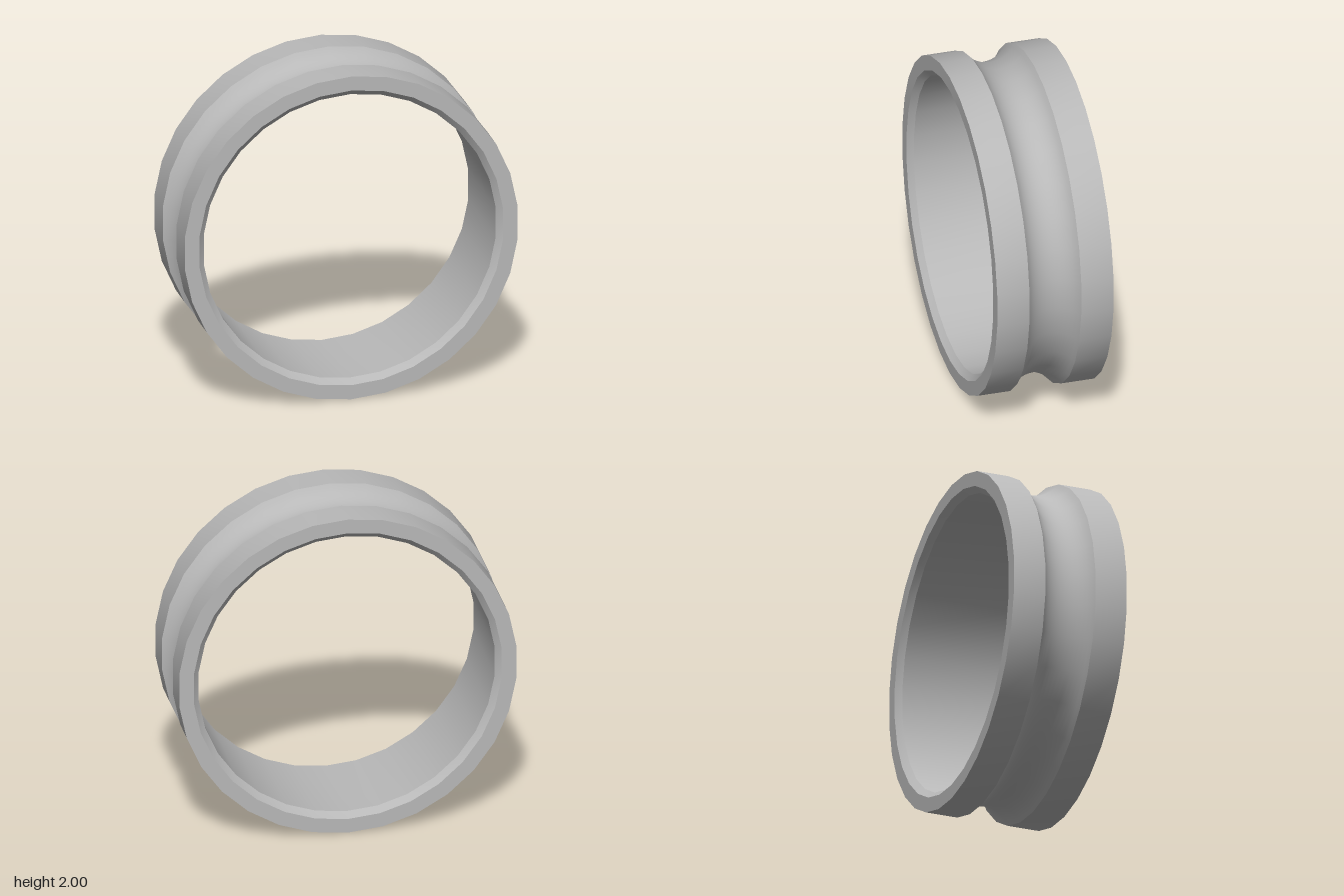
import * as THREE from 'three';
import { toCreasedNormals } from 'three/addons/utils/BufferGeometryUtils.js';

export function createModel() {
  const group = new THREE.Group();
  group.name = 'groovedRing';
  const grey = new THREE.MeshStandardMaterial({ color: 0xb8b8b8 });
  grey.name = 'grey';

  const outer = 1, inner = 0.878, half = 0.35, chamfer = 0.035;
  const grooveHalf = 0.156, grooveDepth = 0.088, steps = 14;

  // Cross-section: outer bands with a round groove between them
  const profile = [[outer, -half]];
  const radius = (grooveHalf ** 2 + grooveDepth ** 2) / (2 * grooveDepth);
  const sweep = Math.asin(grooveHalf / radius);
  const centre = outer - grooveDepth + radius;
  for (let i = 0; i <= steps; i++) {
    const a = sweep * (2 * i / steps - 1);
    profile.push([centre - radius * Math.cos(a), radius * Math.sin(a)]);
  }
  // End faces, chamfers and plain bore
  profile.push(
    [outer, half], [inner + chamfer, half], [inner, half - chamfer],
    [inner, chamfer - half], [inner + chamfer, -half], [outer, -half]
  );

  // 30-sided ring, turned so that its axis runs front to back
  const lathe = new THREE.LatheGeometry(profile.map(([r, z]) => new THREE.Vector2(r, z)), 30);
  lathe.rotateX(Math.PI / 2);
  const ring = new THREE.Mesh(toCreasedNormals(lathe, Math.PI / 6), grey);
  ring.name = 'ring';
  ring.position.y = outer;
  group.add(ring);
  return group;
}
